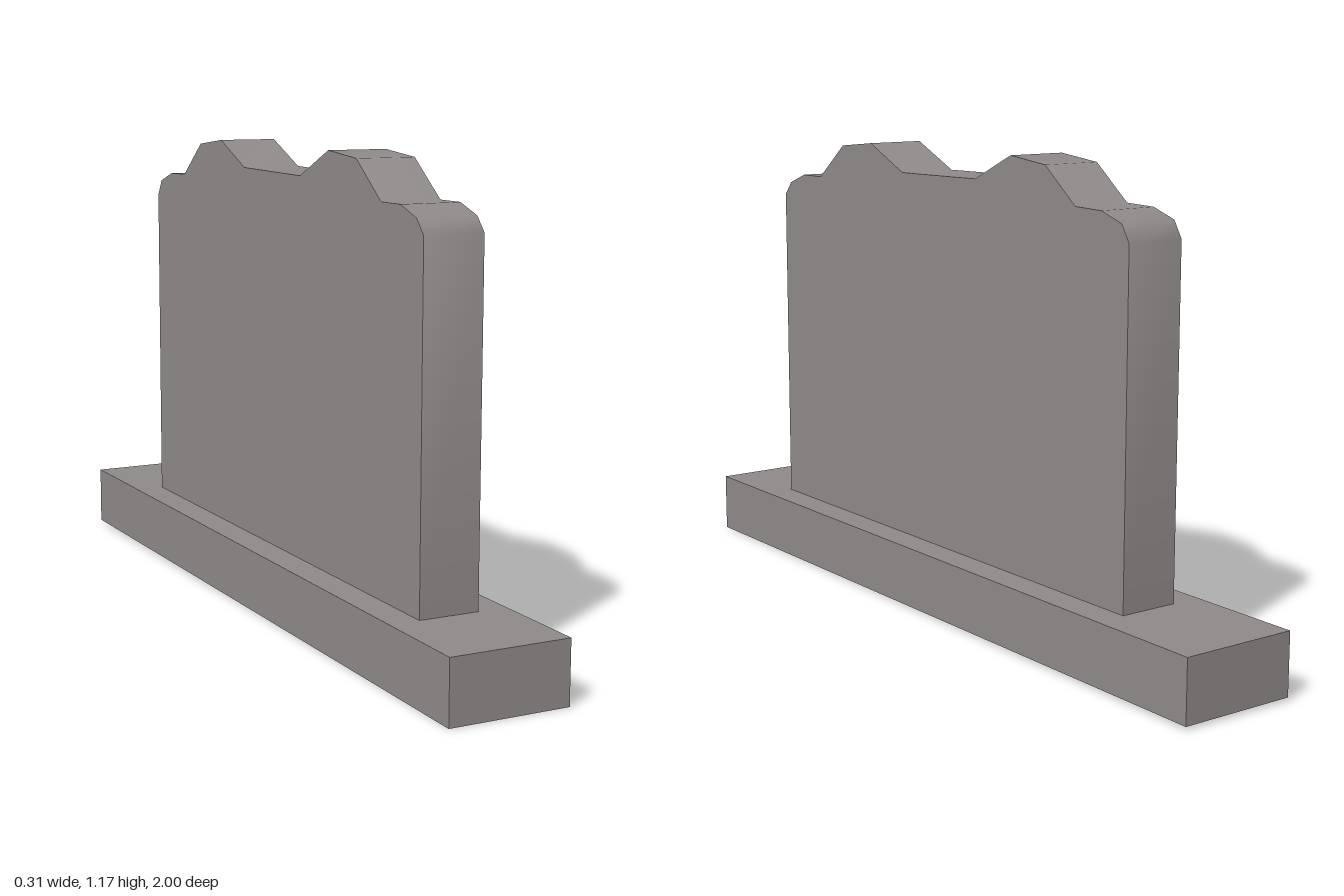
import * as THREE from 'three';
import { toCreasedNormals } from 'three/addons/utils/BufferGeometryUtils.js';

// Outline of the upright slab as [z, y], from front foot to back foot
const OUTLINE = [
  [0.75, 0.15], [0.75, 1.0], [0.72, 1.035], [0.65, 1.06], [0.565, 1.06],
  [0.45, 1.15], [0.315, 1.163], [0.17, 1.097], [-0.14, 1.102],
  [-0.28, 1.166], [-0.41, 1.152], [-0.52, 1.066], [-0.61, 1.064],
  [-0.68, 1.041], [-0.705, 1.0], [-0.705, 0.15],
];

// The whole piece stands very slightly askew
function skew(geometry, yaw, pitch) {
  const p = geometry.attributes.position;
  for (let i = 0; i < p.count; i++) {
    const z = p.getZ(i);
    p.setX(i, p.getX(i) + yaw * z - 0.002);
    p.setY(i, p.getY(i) + pitch * (1 - z));
  }
  geometry.computeVertexNormals();
  return geometry;
}

export function createModel() {
  const group = new THREE.Group();
  const stone = new THREE.MeshStandardMaterial({ color: 0x8f8a89 });
  stone.name = 'grey stone';

  // Long low plinth
  const plinthGeometry = new THREE.BoxGeometry(0.302, 0.154, 2);
  plinthGeometry.translate(0, 0.077, 0);
  const plinth = new THREE.Mesh(skew(plinthGeometry, 0.004, 0.004), stone);
  plinth.name = 'plinth';

  // Upright slab with a wavy top, softly shaded along the crest
  const shape = new THREE.Shape(OUTLINE.map(([z, y]) => new THREE.Vector2(z, y)));
  const slabGeometry = new THREE.ExtrudeGeometry(shape, { depth: 0.152, bevelEnabled: false });
  slabGeometry.translate(0, 0, -0.076);
  slabGeometry.rotateY(-Math.PI / 2);
  const slab = new THREE.Mesh(toCreasedNormals(skew(slabGeometry, 0.004, 0), 0.95), stone);
  slab.name = 'headstone';

  group.add(plinth, slab);
  return group;
}
